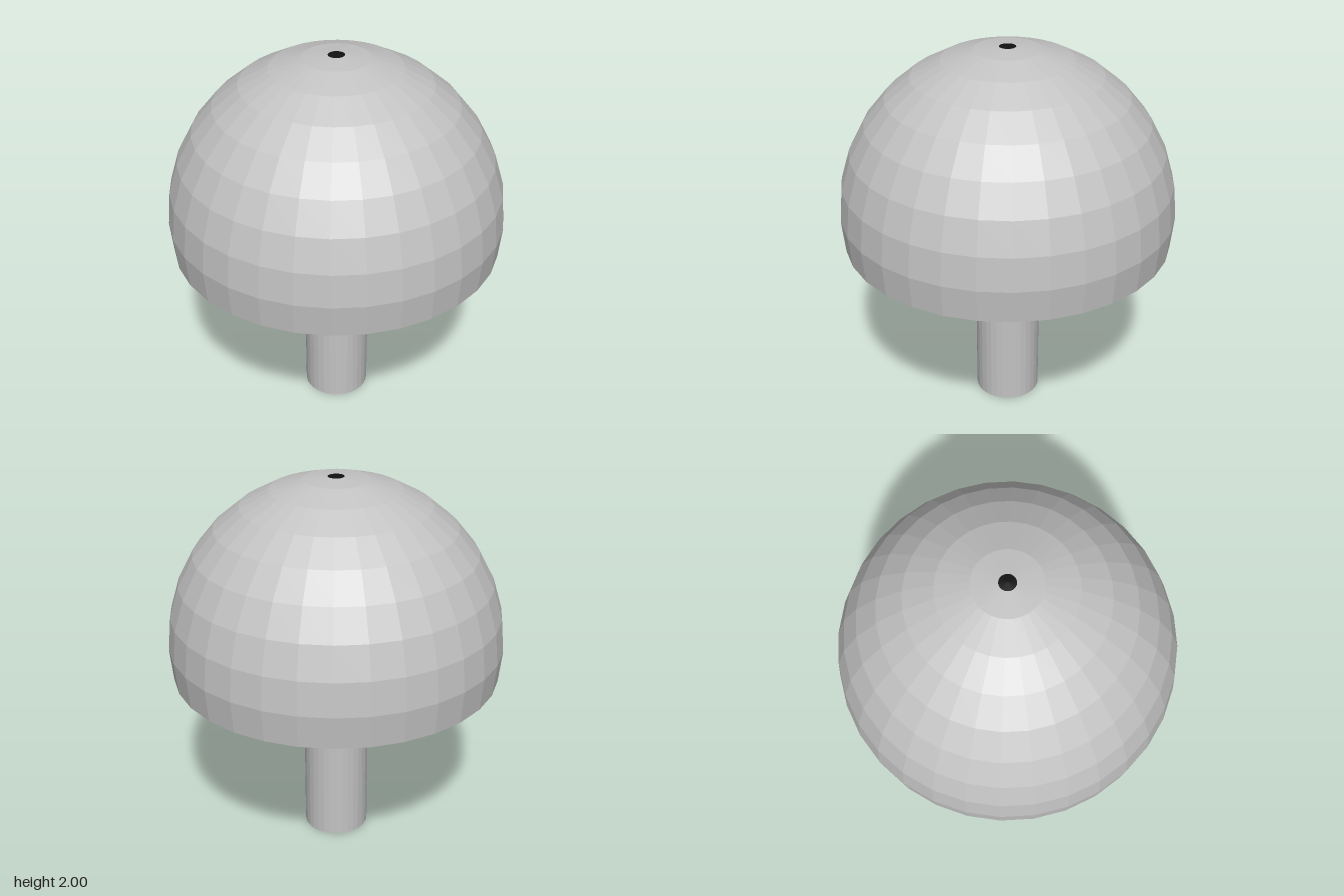
import * as THREE from 'three';

const SEGMENTS = 32;      // sides around the vertical axis
const RADIUS = 0.87;      // dome radius
const CENTRE_Y = 1.13;    // height of the dome's widest ring
const STEP = Math.PI / 16; // angle between dome rings
const CEILING_Y = 1.155;  // top of the recess under the dome
const STEM_RADIUS = 0.172;
const TOP_SPOT = 0.042;   // radius of the dark spot on the dome
const BASE_SPOT = 0.033;  // radius of the dark spot under the stem

function material(name, color) {
  const m = new THREE.MeshStandardMaterial({ color, flatShading: true });
  m.name = name;
  return m;
}

// Turned part from [radius, height] pairs, listed so the outside faces out
function turned(name, profile, mat) {
  const points = profile.map(([r, y]) => new THREE.Vector2(r, y));
  const mesh = new THREE.Mesh(new THREE.LatheGeometry(points, SEGMENTS), mat);
  mesh.name = name;
  return mesh;
}

export function createModel() {
  const model = new THREE.Group();
  const grey = material('light grey', 0xc3c3c3);
  const black = material('black', 0x111111);

  // Cap: recess ceiling, recess wall, flat underside, then the faceted dome
  const rimY = CENTRE_Y - RADIUS * Math.sin(STEP);
  const cap = [[0, CEILING_Y], [0.592, CEILING_Y], [0.592, rimY]];
  for (let i = -1; i < 8; i++) {
    cap.push([RADIUS * Math.cos(i * STEP), CENTRE_Y + RADIUS * Math.sin(i * STEP)]);
  }

  // The topmost ring stops at the dark spot, which continues its slope
  const topY = CENTRE_Y + RADIUS;
  const spotY = topY - TOP_SPOT * Math.tan(STEP / 2);
  cap.push([TOP_SPOT, spotY]);
  model.add(turned('domeCap', cap, grey));
  model.add(turned('topSpot', [[TOP_SPOT, spotY], [0, topY]], black));

  // Stem: straight post reaching the recess ceiling, with a spot in its foot
  const stem = [[BASE_SPOT, 0], [STEM_RADIUS, 0], [STEM_RADIUS, CEILING_Y]];
  model.add(turned('stem', stem, grey));
  model.add(turned('baseSpot', [[0, 0], [BASE_SPOT, 0]], black));

  return model;
}
